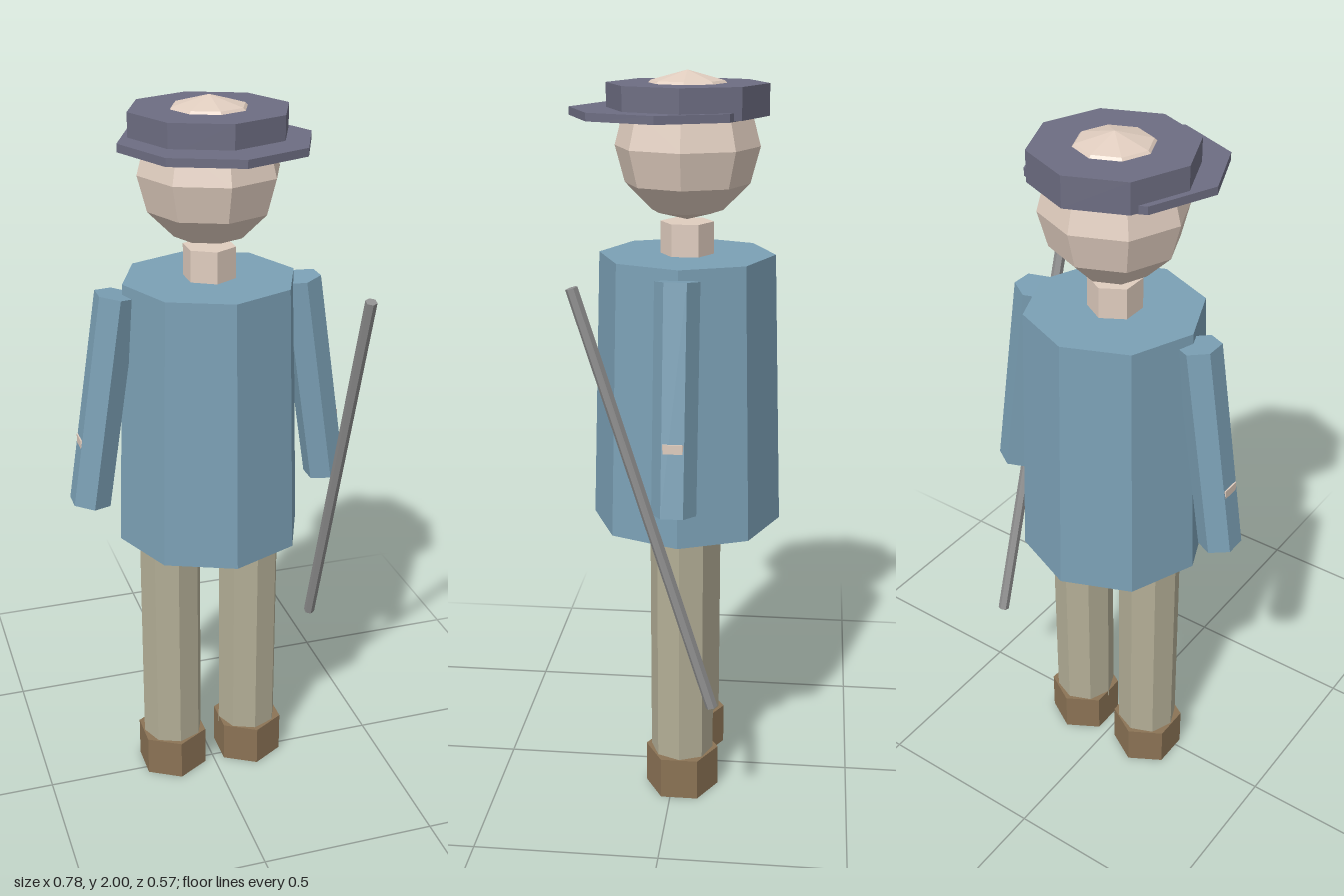
import * as THREE from 'three';

const Z = -0.026; // depth of the body's axis

const paint = (color) => new THREE.MeshStandardMaterial({ color, flatShading: true });

export function createModel() {
  const figure = new THREE.Group();
  figure.name = 'figure';

  const skin = paint(0xe0cdbf);
  const coat = paint(0x7ba0b5);
  const trousers = paint(0xb3ae96);
  const leather = paint(0x8b7355);
  const hat = paint(0x6d6d82);
  const metal = paint(0x909090);

  const add = (name, geometry, material, x, y, z = Z) => {
    const mesh = new THREE.Mesh(geometry, material);
    mesh.name = name;
    mesh.position.set(x, y, z);
    figure.add(mesh);
    return mesh;
  };

  // Upright prism between two heights
  const prism = (name, material, sides, rTop, rBottom, y0, y1, x = 0, z = Z) =>
    add(name, new THREE.CylinderGeometry(rTop, rBottom, y1 - y0, sides), material, x, (y0 + y1) / 2, z);

  // Torso, neck and head
  prism('coat', coat, 8, 0.235, 0.26, 0.79, 1.53);
  prism('neck', skin, 6, 0.071, 0.071, 1.53, 1.615);
  add('head', new THREE.SphereGeometry(0.19, 8, 6), skin, 0, 1.81);

  // Cap: crown around the head, brim pushed forward
  prism('capCrown', hat, 8, 0.211, 0.211, 1.887, 1.968);
  prism('capBrim', hat, 8, 0.252, 0.252, 1.885, 1.906, 0, 0.031);

  // Limbs, mirrored
  for (const [side, s] of [['left', 1], ['right', -1]]) {
    prism(side + 'Leg', trousers, 8, 0.088, 0.088, 0.1, 0.8, s * 0.117);
    prism(side + 'Shoe', leather, 6, 0.103, 0.103, 0, 0.12, s * 0.119);

    const sleeve = prism(side + 'Sleeve', coat, 6, 0.058, 0.058, 0.915, 1.509, s * 0.2975);
    sleeve.rotation.z = s * 0.151;

    // Hand, almost wholly inside the sleeve
    prism(side + 'Hand', skin, 6, 0.05, 0.05, 1.05, 1.115, s * 0.3235);
  }

  // Slanted staff at the left side
  const staff = add('staff', new THREE.CylinderGeometry(0.016, 0.016, 1.178, 6), metal, 0.355, 0.943, 0.047);
  staff.rotation.x = 0.302;

  return figure;
}
